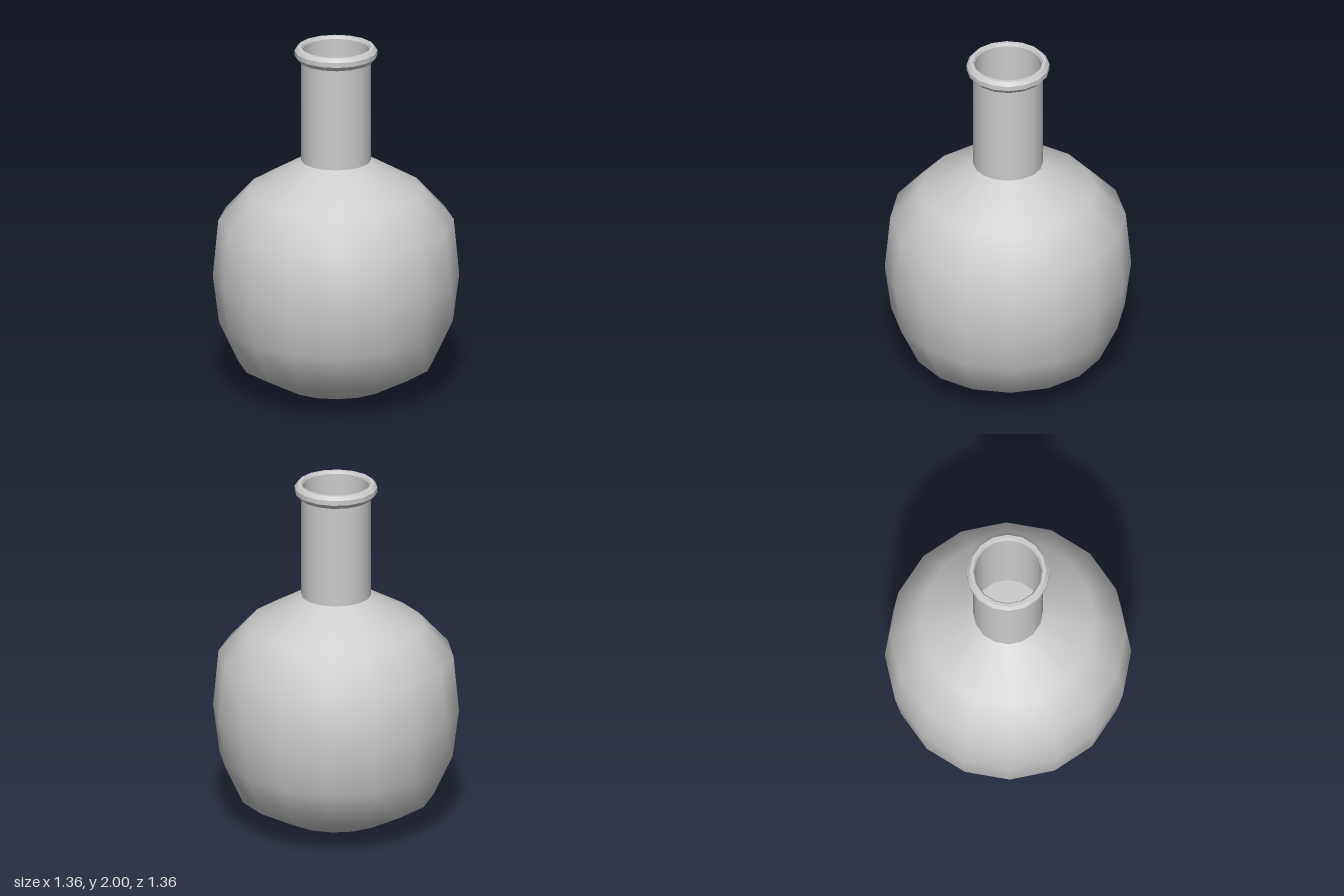
import * as THREE from 'three';
import { toCreasedNormals } from 'three/addons/utils/BufferGeometryUtils.js';

const SIDES = 16;

export function createModel() {
  const group = new THREE.Group();
  const material = new THREE.MeshStandardMaterial({ color: 0xcccccc, side: THREE.DoubleSide });

  // Turn a profile of [radius, height] pairs around the y axis
  const turn = (name, profile, crease) => {
    let geometry = new THREE.LatheGeometry(profile.map(([r, y]) => new THREE.Vector2(r, y)), SIDES);
    if (crease) geometry = toCreasedNormals(geometry, crease);
    const mesh = new THREE.Mesh(geometry, material);
    mesh.name = name;
    group.add(mesh);
  };

  // Round belly, from the base point up to the neck joint
  turn('body', [
    [0, 0], [0.295, 0.05], [0.54, 0.18], [0.645, 0.405],
    [0.68, 0.675], [0.65, 0.995], [0.485, 1.175], [0.193, 1.345],
  ]);

  // Straight neck
  turn('neck', [[0.193, 1.345], [0.193, 1.925]]);

  // Bevelled lip around the mouth
  turn('lip', [
    [0.193, 1.925], [0.205, 1.925], [0.229, 1.952], [0.229, 1.98],
    [0.212, 2], [0.193, 2], [0.185, 1.985],
  ], 0.6);

  // Inner wall of the neck and the flat floor it ends on
  turn('neckInside', [[0.185, 1.985], [0.185, 1.345]]);
  turn('neckFloor', [[0.185, 1.345], [0, 1.345]]);

  return group;
}
